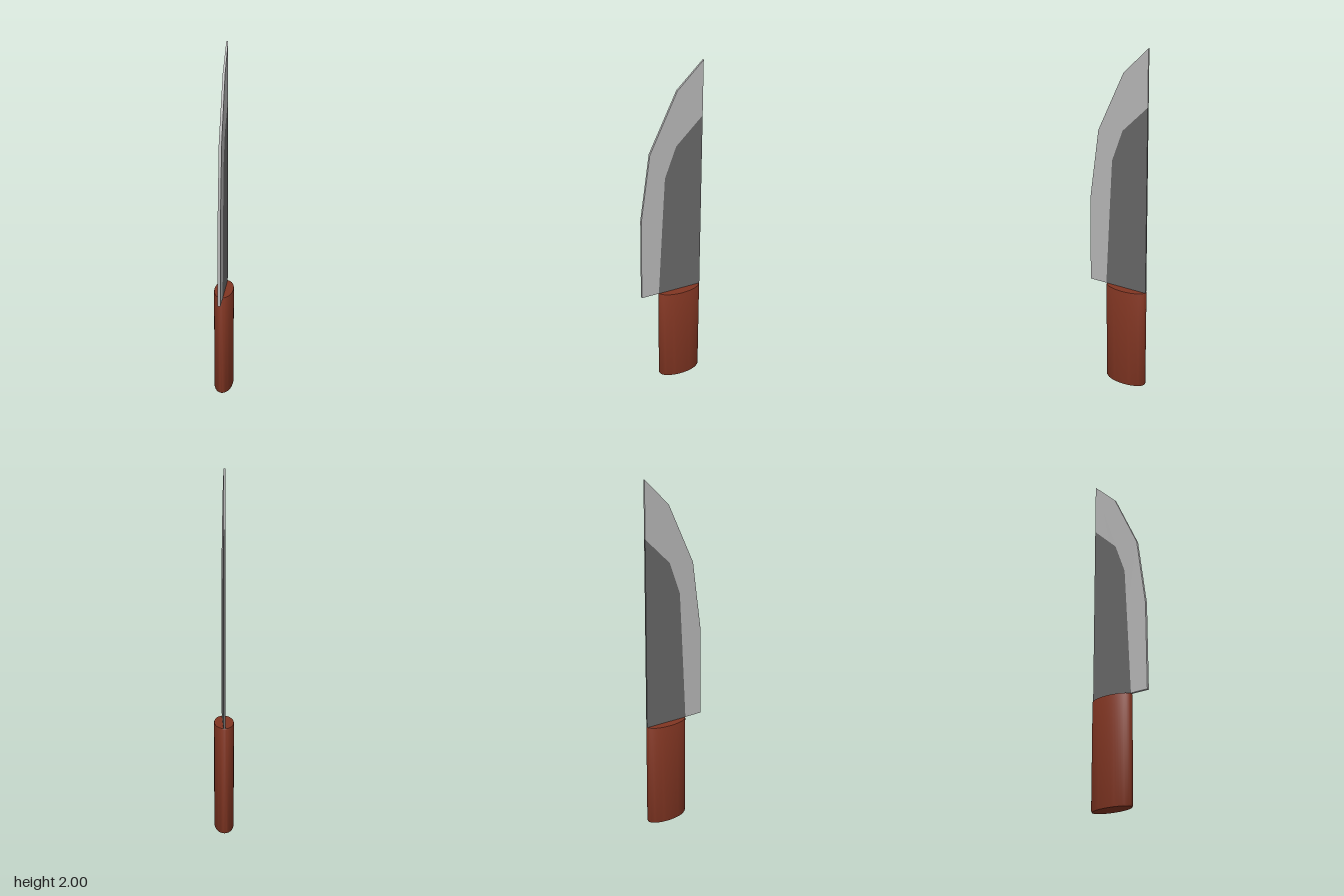
import * as THREE from 'three';
import { toCreasedNormals } from 'three/addons/utils/BufferGeometryUtils.js';

const HEEL_Y = 0.61, SPINE_Z = -0.18;

// Blade thickness: right face is flat, the other swells slightly towards the cutting edge
const leftX = 0.007;
const rightX = (z) => -0.003 - 0.005 * THREE.MathUtils.smoothstep(z, SPINE_Z, 0.1);

// Thin plate from a [z, y] outline, counter-clockwise seen from +x.
// Edges 1 to 4 of each outline lie on the seam between the two plates and get no wall.
function plate(name, outline, color) {
  const pos = [];
  const left = ([z, y]) => [leftX, y, z];
  const right = ([z, y]) => [rightX(z), y, z];
  const tri = (...pts) => pts.forEach((p) => pos.push(...p));

  const flat = outline.map(([z, y]) => new THREE.Vector2(-z, y));
  for (const [a, b, c] of THREE.ShapeUtils.triangulateShape(flat, [])) {
    tri(left(outline[a]), left(outline[b]), left(outline[c]));
    tri(right(outline[a]), right(outline[c]), right(outline[b]));
  }
  outline.forEach((a, i) => {
    if (i >= 1 && i <= 4) return;
    const b = outline[(i + 1) % outline.length];
    tri(right(a), right(b), left(b));
    tri(right(a), left(b), left(a));
  });

  const geometry = new THREE.BufferGeometry();
  geometry.setAttribute('position', new THREE.Float32BufferAttribute(pos, 3));
  const mesh = new THREE.Mesh(
    toCreasedNormals(geometry, 0.5),
    new THREE.MeshStandardMaterial({ color })
  );
  mesh.name = name;
  return mesh;
}

export function createModel() {
  const model = new THREE.Group();
  model.name = 'knife';

  // Blade: dark body along the spine, bright band along the cutting edge
  const seam = [[0.075, HEEL_Y], [0.053, 1.03], [0.035, 1.36], [-0.03, 1.54], [SPINE_Z, 1.69]];
  const edge = [[0.18, HEEL_Y], [0.175, 1.12], [0.12, 1.52], [-0.035, 1.855], [SPINE_Z, 2]];
  const blade = new THREE.Group();
  blade.name = 'blade';
  blade.add(
    plate('bladeBody', [[SPINE_Z, HEEL_Y], ...[...seam].reverse()], 0x666666),
    plate('cuttingEdge', [edge[0], ...seam, ...edge.slice(1).reverse()], 0xb4b4b4)
  );
  model.add(blade);

  // Handle: oval cylinder with softened rims
  const profile = [[0, 0], [0.96, 0], [1, 0.008], [1, HEEL_Y - 0.004], [0.98, HEEL_Y], [0, HEEL_Y]]
    .map(([r, y]) => new THREE.Vector2(r, y));
  const handleGeometry = new THREE.LatheGeometry(profile, 48).scale(0.055, 1, 0.127);
  const handle = new THREE.Mesh(
    toCreasedNormals(handleGeometry, 0.6),
    new THREE.MeshStandardMaterial({ color: 0x803522 })
  );
  handle.name = 'handle';
  handle.position.z = -0.053;
  model.add(handle);

  return model;
}
